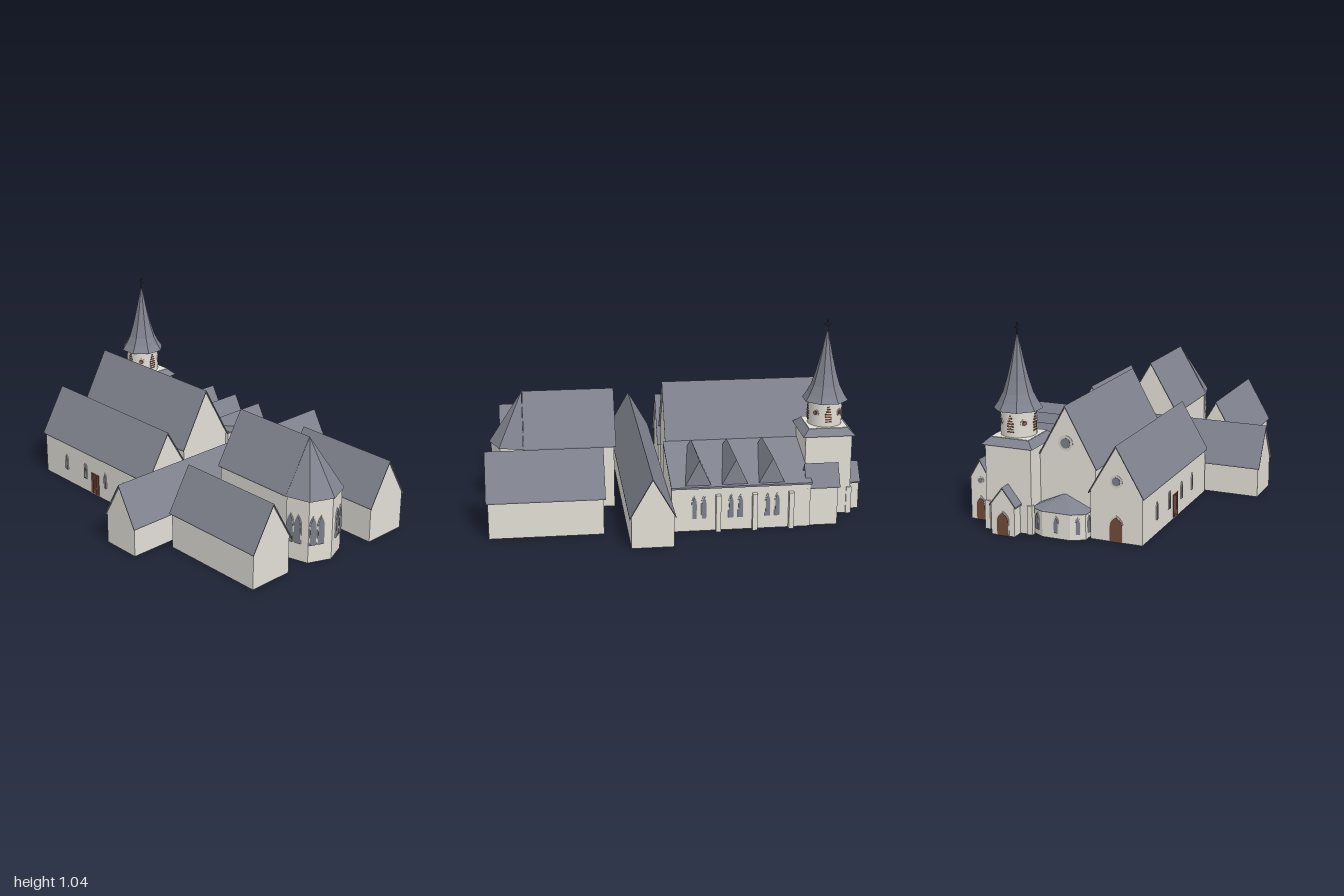
import * as THREE from 'three';

const mat = (name, color, side = THREE.FrontSide) => {
  const m = new THREE.MeshStandardMaterial({ color, side });
  m.name = name;
  return m;
};

export function createModel() {
  const root = new THREE.Group();
  const slate = mat('slate', 0x80838e, THREE.DoubleSide);
  const stone = mat('stone', 0xe2dfd6, THREE.DoubleSide);
  const trim = mat('trim', 0xd2cfc5);
  const glass = mat('glass', 0x7a7e8b);
  const wood = mat('wood', 0x714a39);
  const iron = mat('iron', 0x3a3b40);

  const add = (name, geo, m, parent = root) => {
    const mesh = new THREE.Mesh(geo, m);
    mesh.name = name;
    parent.add(mesh);
    return mesh;
  };
  const flat = (g) => {
    const n = g.index ? g.toNonIndexed() : g;
    n.computeVertexNormals();
    return n;
  };
  const box = (name, m, x0, x1, y0, y1, z0, z1) => {
    const b = add(name, new THREE.BoxGeometry(x1 - x0, y1 - y0, z1 - z0), m);
    b.position.set((x0 + x1) / 2, (y0 + y1) / 2, (z0 + z1) / 2);
    return b;
  };
  const shapeOf = (pts) => new THREE.Shape(pts.map((p) => new THREE.Vector2(...p)));
  const extrude = (shape, depth) => new THREE.ExtrudeGeometry(shape, { depth, bevelEnabled: false, curveSegments: 6 });
  const faces = (tris) => {
    const g = new THREE.BufferGeometry();
    g.setAttribute('position', new THREE.Float32BufferAttribute(tris.flat(2), 3));
    g.computeVertexNormals();
    return g;
  };
  // Keep only the upright faces: a hollow shell without floor or ceiling
  const shell = (geo) => {
    const g = flat(geo), p = g.attributes.position, n = g.attributes.normal;
    const kept = [];
    for (let i = 0; i < p.count; i += 3) {
      if (Math.abs(n.getY(i)) > 0.05) continue;
      for (let k = i; k < i + 3; k++) kept.push([p.getX(k), p.getY(k), p.getZ(k)]);
    }
    return faces(kept);
  };

  // Gabled block; a0..a1 is the roof length along the axis, c its centre across
  const gable = (name, axis, a0, a1, c, half, eave, ridge, { over = 0.01, t = 0.008, end = over } = {}) => {
    const g = new THREE.Group();
    g.name = name;
    const slope = (ridge - eave) / half;
    const hw = half - 0.009;
    const wy = ridge - t - slope * hw;
    const wall = add(name + 'Walls', shell(extrude(shapeOf([[-hw, 0], [hw, 0], [hw, wy], [0, ridge - t], [-hw, wy]]), a1 - a0 - over - end)), stone, g);
    wall.position.z = over;
    add(name + 'Roof', extrude(shapeOf([[-half, eave], [-half, eave - t], [0, ridge - t], [half, eave - t], [half, eave], [0, ridge]]), a1 - a0), slate, g);
    if (axis === 'x') {
      g.rotation.y = Math.PI / 2;
      g.position.set(a0, 0, c);
    } else g.position.set(c, 0, a0);
    root.add(g);
  };

  // Pointed arch plate with its foot at y = 0
  const arch = (w, h) => {
    const s = new THREE.Shape();
    s.moveTo(-w / 2, 0);
    s.lineTo(w / 2, 0);
    s.lineTo(w / 2, h * 0.62);
    s.quadraticCurveTo(w / 2, h * 0.85, 0, h);
    s.quadraticCurveTo(-w / 2, h * 0.85, -w / 2, h * 0.62);
    return s;
  };
  const lancet = (name, x, y, z, ry, w, h, m = glass) => {
    const g = new THREE.Group();
    g.name = name;
    add(name + 'Frame', extrude(arch(w + 0.008, h + 0.008), 0.004), trim, g);
    add(name + 'Pane', extrude(arch(w, h), 0.006), m, g);
    g.position.set(x, y, z);
    g.rotation.y = ry;
    root.add(g);
  };
  const roundWindow = (x, y, z, ry, r, rings) => {
    const g = new THREE.Group();
    g.name = 'roundWindow';
    rings.forEach((m, i) => {
      const rad = r * (1 - 0.35 * i);
      add('roundWindowPart', new THREE.CylinderGeometry(rad, rad, 0.004 + 0.004 * i, 16).rotateX(Math.PI / 2), m, g);
    });
    g.position.set(x, y, z);
    g.rotation.y = ry;
    root.add(g);
  };

  // Polygonal apse: walls inset from the eaves, roof as a fan to one apex
  const apse = (name, pts, apex, eave, win) => {
    const [ax, , az] = apex;
    const wp = pts.map(([x, z]) => [ax + (x - ax) * 0.95, az + (z - az) * 0.95]);
    add(name + 'Walls', shell(extrude(shapeOf(wp.map(([x, z]) => [x, -z])), eave).rotateX(-Math.PI / 2)), stone);
    const tris = [];
    for (let i = 0; i < pts.length - 1; i++) {
      tris.push([[pts[i][0], eave, pts[i][1]], apex, [pts[i + 1][0], eave, pts[i + 1][1]]]);
      const [a, b] = [wp[i], wp[i + 1]];
      const dx = b[0] - a[0], dz = b[1] - a[1];
      win.at.forEach((f) => {
        const s = i < (pts.length - 1) / 2 ? f : 1 - f;
        lancet(name + 'Window', a[0] + dx * s, win.y, a[1] + dz * s, Math.atan2(dz, -dx), win.w, win.h);
      });
    }
    add(name + 'Roof', faces(tris), slate);
  };

  // Main gabled blocks
  gable('nave', 'x', -0.835, 0.04, 0.005, 0.168, 0.348, 0.652);
  gable('southAisle', 'x', -0.877, 0.05, 0.293, 0.146, 0.243, 0.492);
  gable('transept', 'z', -0.735, 0.735, 0.165, 0.118, 0.164, 0.372);
  gable('choir', 'x', 0.305, 0.798, 0.004, 0.162, 0.351, 0.626, { end: 0 });
  gable('southChapel', 'x', 0.32, 0.932, 0.392, 0.134, 0.201, 0.432);
  gable('northChapel', 'x', 0.388, 1, -0.4, 0.134, 0.201, 0.432);
  gable('northWestPorch', 'x', -0.838, -0.657, -0.475, 0.065, 0.215, 0.325);
  gable('westPorch', 'x', -1, -0.9, -0.262, 0.073, 0.155, 0.25, { over: 0.006 });

  // Apses at both ends
  apse('choirApse', [[0.8, -0.163], [0.93, -0.125], [0.983, 0.005], [0.93, 0.133], [0.8, 0.17]],
    [0.8, 0.626, 0.005], 0.348, { at: [0.18, 0.52], y: 0.1, w: 0.034, h: 0.155 });
  apse('westApse', [[-0.82, 0.15], [-0.9, 0.15], [-0.94, 0.08], [-0.94, -0.08], [-0.9, -0.15], [-0.82, -0.15]],
    [-0.82, 0.2, 0], 0.134, { at: [0.5], y: 0.03, w: 0.02, h: 0.08 });

  // North aisle under a lean-to roof
  const along = (name, pts, x0, x1, m, finish) => {
    const mesh = add(name, finish(extrude(shapeOf(pts.map(([z, y]) => [-z, y])), x1 - x0)), m);
    mesh.rotation.y = Math.PI / 2;
    mesh.position.x = x0;
  };
  along('northAisleWalls', [[-0.54, 0], [-0.15, 0], [-0.15, 0.354], [-0.54, 0.24]], -0.68, 0.05, stone, shell);
  along('northAisleRoof', [[-0.552, 0.237], [-0.155, 0.354], [-0.155, 0.364], [-0.552, 0.247]], -0.686, 0.052, slate, flat);
  [-0.48, -0.287, -0.095].forEach((x, i) => {
    const a = [x - 0.064, 0.247, -0.538], b = [x + 0.076, 0.247, -0.538], c = [x, 0.386, -0.538];
    const d = [x - 0.016, 0.345, -0.2], e = [x + 0.024, 0.345, -0.2], f = [x, 0.386, -0.2];
    add('dormer', faces([[a, c, b], [d, e, f], [a, d, f], [a, f, c], [b, c, f], [b, f, e]]), slate);
    const bx = -0.577 + i * 0.192;
    box('buttress', stone, bx - 0.013, bx + 0.013, 0, 0.2, -0.567, -0.535);
    [-0.025, 0.025].forEach((o) => lancet('northWindow', x + o, 0.07, -0.54, Math.PI, 0.022, 0.12));
  });

  // South front: windows and panelled door
  const southZ = 0.4295;
  lancet('southWindow', -0.675, 0.075, southZ, 0, 0.018, 0.085);
  [-0.509, -0.496].forEach((x) => lancet('southWindow', x, 0.075, southZ, 0, 0.008, 0.085));
  lancet('southWindow', -0.327, 0.075, southZ, 0, 0.016, 0.085);
  lancet('southWindow', -0.17, 0.075, southZ, 0, 0.01, 0.085);
  [-0.441, -0.417, -0.393].forEach((x) => box('southDoorPanel', wood, x - 0.0095, x + 0.0095, 0.008, 0.13, southZ - 0.002, southZ + 0.004));

  // West fronts: doors and round windows
  const west = -Math.PI / 2;
  lancet('aisleDoor', -0.867, 0, 0.293, west, 0.065, 0.13, wood);
  lancet('porchDoor', -0.994, 0, -0.262, west, 0.06, 0.12, wood);
  lancet('northWestDoor', -0.828, 0, -0.475, west, 0.045, 0.12, wood);
  roundWindow(-0.867, 0.31, 0.293, west, 0.033, [trim, glass]);
  roundWindow(-0.825, 0.46, 0.005, west, 0.04, [trim, glass]);
  roundWindow(-0.828, 0.21, -0.475, west, 0.02, [trim, glass]);

  // Tower: square shaft with skirt roof
  const tx = -0.806, tz = -0.26;
  const shaft = add('towerShaft', shell(new THREE.BoxGeometry(0.25, 0.445, 0.25)), stone);
  shaft.position.set(tx, 0.2225, tz);
  [-1, 1].forEach((sx) => [-1, 1].forEach((sz) => {
    const x = tx + sx * 0.118, z = tz + sz * 0.118;
    box('towerButtress', stone, x - 0.014, x + 0.014, 0, 0.15, z - 0.014, z + 0.014);
  }));
  const skirt = add('towerSkirtRoof', flat(new THREE.CylinderGeometry(0.105 * Math.SQRT2, 0.141 * Math.SQRT2, 0.035, 4).rotateY(Math.PI / 4)), slate);
  skirt.position.set(tx, 0.459, tz);
  box('towerLedge', stone, tx - 0.104, tx + 0.104, 0.47, 0.479, tz - 0.104, tz + 0.104);

  // Belfry drum with louvres and ringed round openings
  const drum = add('belfryDrum', new THREE.CylinderGeometry(0.091, 0.091, 0.14, 24), stone);
  drum.position.set(tx, 0.545, tz);
  for (let i = 0; i < 4; i++) {
    const a = (i * Math.PI) / 2;
    const louvre = new THREE.Group();
    louvre.name = 'louvre';
    for (let k = 0; k < 7; k++) {
      const w = k < 4 ? 0.034 : 0.034 - (k - 3) * 0.008;
      add('slat', new THREE.BoxGeometry(w, 0.007, 0.006), wood, louvre).position.y = 0.507 + k * 0.0135;
    }
    louvre.position.set(tx + 0.09 * Math.sin(a), 0, tz + 0.09 * Math.cos(a));
    louvre.rotation.y = a;
    root.add(louvre);
    const b = a + Math.PI / 4;
    roundWindow(tx + 0.09 * Math.sin(b), 0.552, tz + 0.09 * Math.cos(b), b, 0.02, [trim, wood, glass]);
  }

  // Flared eight-sided spire and cross
  const profile = [[0, 0.61], [0.123, 0.61], [0.1, 0.645], [0.077, 0.69], [0.056, 0.757], [0.035, 0.84], [0.005, 0.98], [0, 0.982]];
  const spire = add('spire', flat(new THREE.LatheGeometry(profile.map((p) => new THREE.Vector2(...p)), 8, Math.PI / 8)), slate);
  spire.position.set(tx, 0, tz);
  box('crossPost', iron, tx - 0.003, tx + 0.003, 0.965, 1.042, tz - 0.003, tz + 0.003);
  box('crossArm', iron, tx - 0.018, tx + 0.018, 1.016, 1.022, tz - 0.003, tz + 0.003);

  return root;
}
